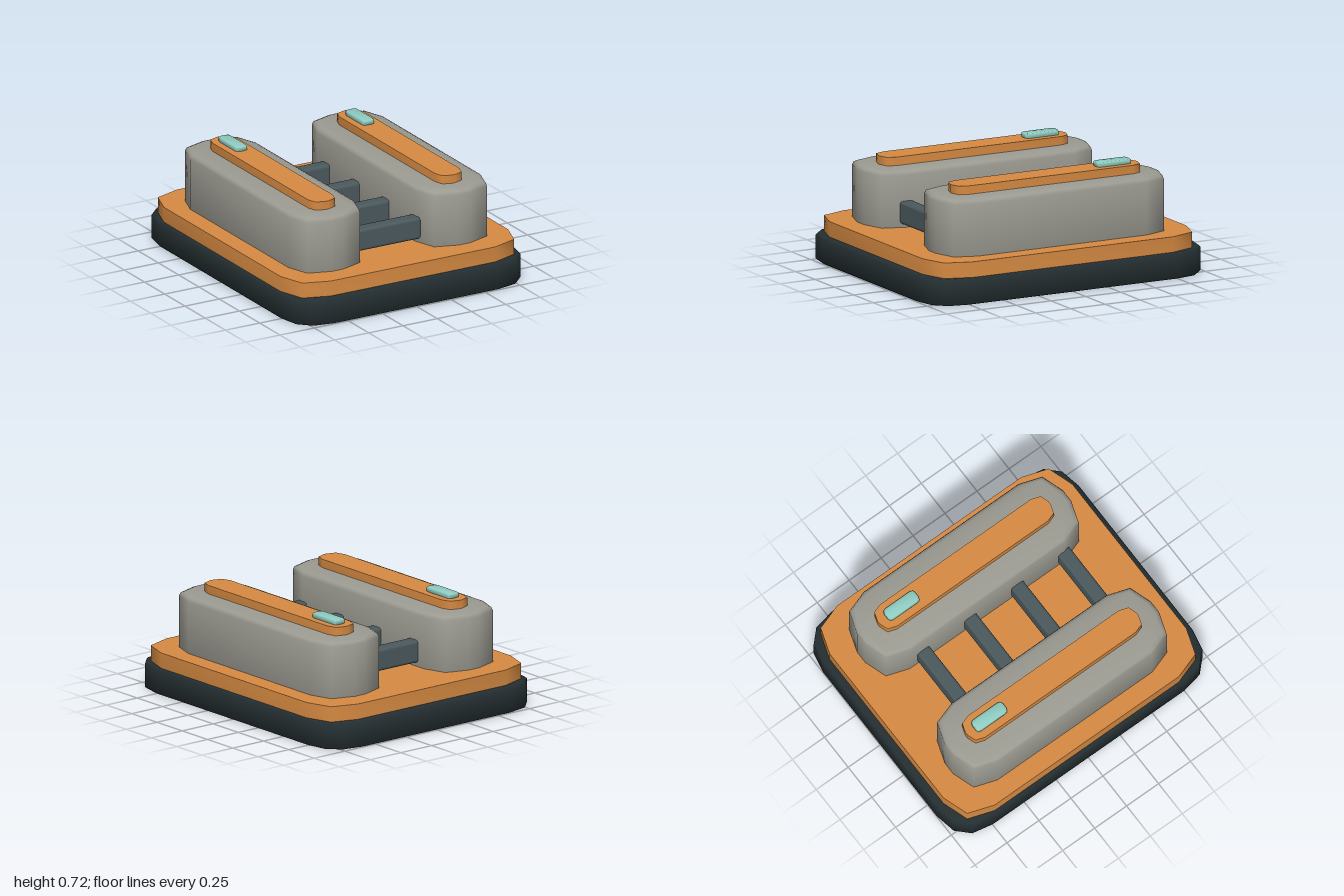
import * as THREE from 'three';
import { toCreasedNormals } from 'three/addons/utils/BufferGeometryUtils.js';
import { RoundedBoxGeometry } from 'three/addons/geometries/RoundedBoxGeometry.js';

const mat = (color) => new THREE.MeshStandardMaterial({ color });
const MATS = {
  dark: mat(0x242e31),
  orange: mat(0xd68a42),
  grey: mat(0x9c9b92),
  steel: mat(0x4a595d),
  teal: mat(0x8fcdc2),
};

// Upright slab with rounded corners, centred on x and z, from y0 to y1
function slab(name, material, hw, hd, r, y0, y1, { bevel = 0, steps = 1, corner = 2, crease = 1 } = {}) {
  const s = new THREE.Shape();
  s.moveTo(-hw + r, -hd);
  s.lineTo(hw - r, -hd);
  s.quadraticCurveTo(hw, -hd, hw, -hd + r);
  s.lineTo(hw, hd - r);
  s.quadraticCurveTo(hw, hd, hw - r, hd);
  s.lineTo(-hw + r, hd);
  s.quadraticCurveTo(-hw, hd, -hw, hd - r);
  s.lineTo(-hw, -hd + r);
  s.quadraticCurveTo(-hw, -hd, -hw + r, -hd);
  const geo = new THREE.ExtrudeGeometry(s, {
    depth: y1 - y0 - 2 * bevel,
    curveSegments: corner,
    bevelEnabled: bevel > 0,
    bevelThickness: bevel,
    bevelSize: bevel,
    bevelOffset: -bevel,
    bevelSegments: steps,
  });
  geo.rotateX(-Math.PI / 2);
  geo.translate(0, y0 + bevel, 0);
  const mesh = new THREE.Mesh(toCreasedNormals(geo, crease), material);
  mesh.name = name;
  return mesh;
}

export function createModel() {
  const model = new THREE.Group();
  model.name = 'twinPodPlatform';

  // Base and deck
  model.add(slab('base', MATS.dark, 0.85, 1, 0.25, 0, 0.17, { bevel: 0.01, corner: 3 }));
  model.add(slab('deckPlate', MATS.orange, 0.83, 0.95, 0.23, 0.165, 0.27));

  // Two long pods, each with a top strip and a small light
  for (const [side, sign] of [['left', 1], ['right', -1]]) {
    const pod = new THREE.Group();
    pod.name = side + 'Pod';
    pod.position.x = sign * 0.463;
    pod.add(slab('podBody', MATS.grey, 0.243, 0.805, 0.2, 0.23, 0.635, { bevel: 0.03, steps: 2 }));
    pod.add(slab('topStrip', MATS.orange, 0.09, 0.67, 0.08, 0.625, 0.69));
    const light = slab('light', MATS.teal, 0.042, 0.12, 0.025, 0.685, 0.72, { bevel: 0.005 });
    light.position.z = -0.49;
    pod.add(light);
    model.add(pod);
  }

  // Cross bars joining the pods
  for (let i = 0; i < 4; i++) {
    const bar = new THREE.Mesh(new RoundedBoxGeometry(0.48, 0.145, 0.094, 2, 0.02), MATS.steel);
    bar.name = 'crossBar' + (i + 1);
    bar.position.set(0, 0.368, -0.497 + i * 0.367);
    model.add(bar);
  }
  return model;
}
